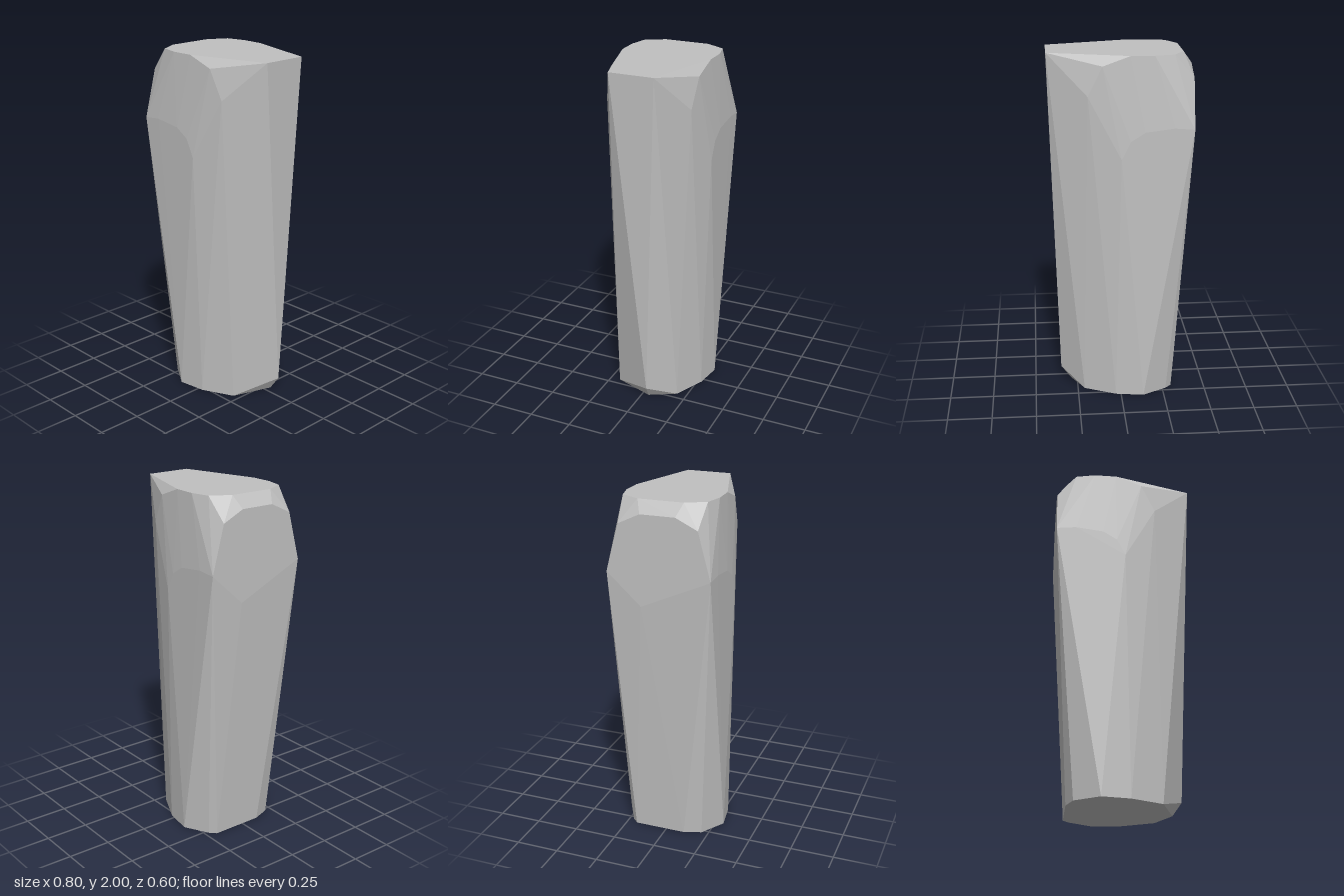
import * as THREE from 'three';
import { ConvexGeometry } from 'three/addons/geometries/ConvexGeometry.js';

export function createModel() {
  const group = new THREE.Group();
  const stone = new THREE.MeshStandardMaterial({ color: 0xc0c0c0 });
  stone.name = 'pale grey stone';

  // Corners shared by the front and back halves: x, y, z (mirrored in z)
  const mirrored = [
    // flat top
    [0.4, 2, 0.13], [-0.05, 2, 0.265], [-0.18, 2, 0.267], [-0.29, 2, 0.24], [-0.35, 2, 0.13],
    // upper shoulder
    [0.1, 1.945, 0.26], [0.18, 1.78, 0.25], [-0.4, 1.87, 0.225], [-0.4, 1.93, 0.1],
    // start of the flat flanks
    [0, 1.44, 0.3], [-0.05, 1.54, 0.3], [-0.13, 1.59, 0.3], [-0.29, 1.61, 0.3], [-0.4, 1.6, 0.297],
    // foot
    [0.21, 0, 0.19], [0.03, 0, 0.275], [-0.13, 0, 0.3],
  ];
  // Uneven corners: chipped foot and narrow side
  const single = [
    [0.345, 0.08, -0.05], [0.29, 0, -0.04], [-0.4, 1.42, -0.1],
    [-0.27, 0, 0.21], [-0.305, 0, 0.11], [-0.305, 0, -0.19], [-0.27, 0, -0.225],
  ];

  const points = single.map((p) => new THREE.Vector3(...p));
  for (const [x, y, z] of mirrored) {
    points.push(new THREE.Vector3(x, y, z), new THREE.Vector3(x, y, -z));
  }

  // Faceted, tapering block
  const block = new THREE.Mesh(new ConvexGeometry(points), stone);
  block.name = 'taperedStoneBlock';
  group.add(block);
  return group;
}
